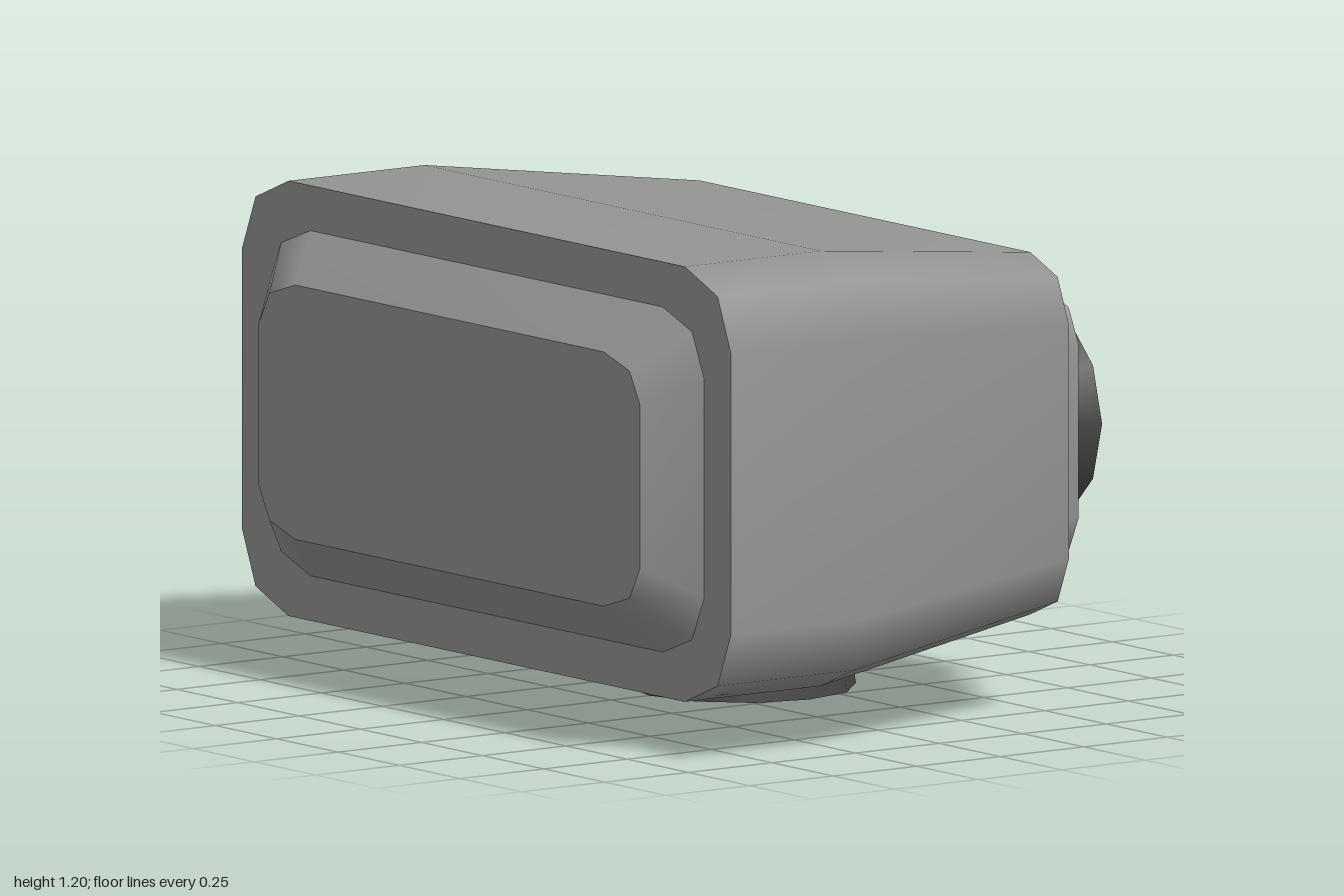
import * as THREE from 'three';
import { mergeGeometries } from 'three/addons/utils/BufferGeometryUtils.js';

const SIDES = 12;

// Rounded rectangle outline, counter-clockwise seen from +z: three points per corner
function outline(w, h, rx, ry, y, z) {
  const pts = [];
  [[1, 1], [-1, 1], [-1, -1], [1, -1]].forEach(([sx, sy], q) => {
    for (let k = 0; k < 3; k++) {
      const a = (q + k / 2) * Math.PI / 2;
      pts.push([sx * (w - rx) + rx * Math.cos(a), y + sy * (h - ry) + ry * Math.sin(a), z]);
    }
  });
  return pts;
}

function indexed(points, index) {
  const g = new THREE.BufferGeometry();
  g.setAttribute('position', new THREE.Float32BufferAttribute(points.flat(), 3));
  g.setIndex(index);
  g.computeVertexNormals();
  return g;
}

// Flat end face as a fan
function cap(ring, facingFront) {
  const index = [];
  for (let i = 1; i < ring.length - 1; i++) {
    index.push(0, ...(facingFront ? [i, i + 1] : [i + 1, i]));
  }
  return indexed(ring, index);
}

// Smooth skin through outlines ordered back to front, closed with flat ends
function loft(rings) {
  const n = rings[0].length, index = [];
  for (let r = 0; r < rings.length - 1; r++) {
    for (let i = 0; i < n; i++) {
      const a = r * n + i, b = r * n + (i + 1) % n;
      index.push(a, b, a + n, b, b + n, a + n);
    }
  }
  return mergeGeometries([
    indexed(rings.flat(), index),
    cap(rings[0], false),
    cap(rings[rings.length - 1], true),
  ]);
}

export function createModel() {
  const model = new THREE.Group();
  model.name = 'binocularViewer';
  const grey = new THREE.MeshStandardMaterial({ color: 0x949492 });
  grey.name = 'casing grey';
  const dark = new THREE.MeshStandardMaterial({ color: 0x454545 });
  dark.name = 'rubber dark grey';

  const add = (name, geometry, material, parent = model) => {
    const mesh = new THREE.Mesh(geometry, material);
    mesh.name = name;
    parent.add(mesh);
    return mesh;
  };

  const Y = 0.668;

  // Main casing, tapering to the back
  add('casing', loft([
    outline(0.835, 0.443, 0.159, 0.159, Y, -0.51),
    outline(1, 0.532, 0.19, 0.19, Y, 0.215),
    outline(1, 0.532, 0.19, 0.19, Y, 0.622),
  ]), grey);

  // Bevelled front panel
  add('frontPanel', loft([
    outline(0.89, 0.422, 0.17, 0.155, Y, 0.622),
    outline(0.78, 0.311, 0.15, 0.113, Y, 0.733),
  ]), grey);

  // Raised plate behind the eyepieces
  add('rearPlate', loft([
    outline(0.72, 0.333, 0.137, 0.119, Y, -0.622),
    outline(0.72, 0.333, 0.137, 0.119, Y, -0.505),
  ]), grey);

  // Pair of flared eyepieces with shallow dished ends
  for (const side of [1, -1]) {
    const eyepiece = new THREE.Group();
    eyepiece.name = side > 0 ? 'leftEyepiece' : 'rightEyepiece';
    eyepiece.position.set(side * 0.388, Y, -0.622);
    eyepiece.rotation.x = -Math.PI / 2;
    const wall = new THREE.CylinderGeometry(0.277, 0.243, 0.111, SIDES, 1, true);
    add('eyepieceWall', wall.translate(0, 0.0555, 0), dark, eyepiece);
    const dish = [[0.277, 0.111], [0.235, 0.1], [0.12, 0.09], [0, 0.087]];
    add('eyepieceDish', new THREE.LatheGeometry(
      dish.map(([x, y]) => new THREE.Vector2(x, y)), SIDES), dark, eyepiece);
    model.add(eyepiece);
  }

  // Mounting foot under the casing
  const foot = add('foot', new THREE.CylinderGeometry(0.243, 0.277, 0.23, SIDES), dark);
  foot.position.set(0, 0.115, -0.142);

  return model;
}
